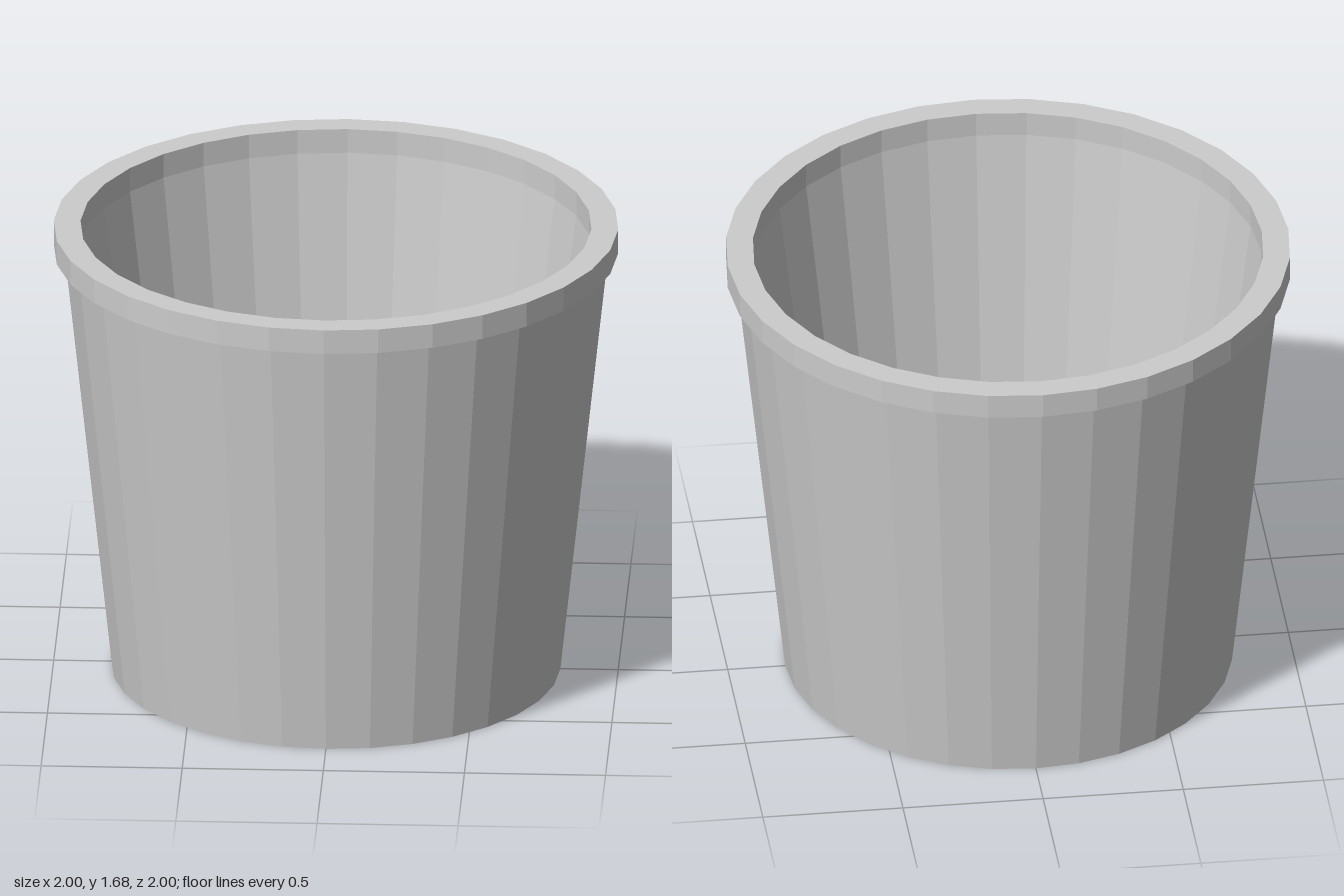
import * as THREE from 'three';

const SIDES = 32;

// Faceted solid of revolution from [radius, height] points
function turned(name, profile, material) {
  const points = profile.map(([r, y]) => new THREE.Vector2(r, y));
  const mesh = new THREE.Mesh(new THREE.LatheGeometry(points, SIDES), material);
  mesh.name = name;
  return mesh;
}

export function createModel() {
  const group = new THREE.Group();
  group.name = 'bucket';
  const material = new THREE.MeshStandardMaterial({ color: 0xcccccc, flatShading: true });

  const height = 1.68, rimBase = 1.59, floorY = 0.09;
  const outerTop = 0.965, outerBottom = 0.795;
  const innerTop = 0.905, innerBottom = 0.705;

  // Tapered wall: underside, outside, then inside down to the floor
  group.add(turned('outerWall', [[0, 0], [outerBottom, 0], [outerTop, rimBase]], material));
  group.add(turned('innerWall', [[innerTop, rimBase], [innerBottom, floorY], [0, floorY]], material));

  // Overhanging rim band with straight sides
  group.add(turned('rim', [
    [outerTop, rimBase], [1, rimBase], [1, height], [innerTop, height], [innerTop, rimBase],
  ], material));

  return group;
}
